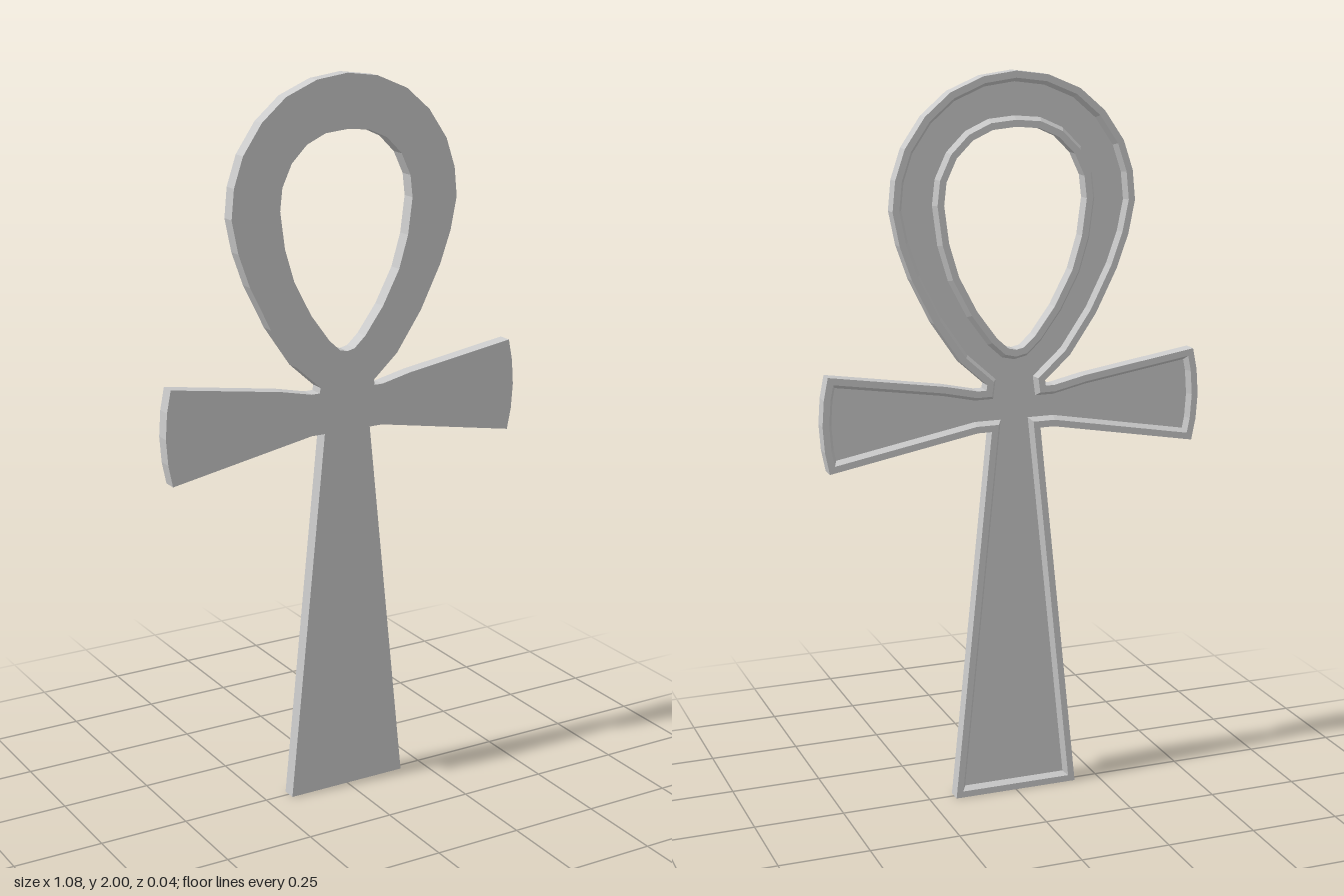
import * as THREE from 'three';

const FRONT = 0.02, BACK = -0.02, FLOOR = -0.004;

// Right half of the outer contour, from the foot up to the top of the loop
const OUTER = [
  [0.178, 0], [0.07, 1.045], [0.11, 1.045], [0.522, 0.97], [0.534, 1.03], [0.539, 1.1],
  [0.534, 1.17], [0.522, 1.23], [0.2, 1.18], [0.11, 1.16], [0.085, 1.16], [0.083, 1.175],
  [0.155, 1.24], [0.23, 1.35], [0.29, 1.47], [0.322, 1.56], [0.34, 1.65], [0.332, 1.73],
  [0.305, 1.81], [0.25, 1.89], [0.18, 1.95], [0.09, 1.988], [0, 2],
];
// Right half of the opening, from its pointed bottom to its top
const OPENING = [
  [0, 1.265], [0.022, 1.27], [0.055, 1.3], [0.11, 1.375], [0.16, 1.47], [0.187, 1.56], [0.2, 1.66],
  [0.193, 1.72], [0.165, 1.78], [0.12, 1.825], [0.065, 1.85], [0, 1.856],
];

// Mirror a half contour into a closed counter-clockwise loop
function closeLoop(half) {
  const right = half.map(([x, y]) => new THREE.Vector2(x, y));
  const left = right.filter((p) => p.x > 0).reverse().map((p) => new THREE.Vector2(-p.x, p.y));
  return [...right, ...left];
}

// Shift a loop to the left of its direction with mitred corners
function inset(loop, d) {
  const n = loop.length;
  const normal = (a, b) => new THREE.Vector2(a.y - b.y, b.x - a.x).normalize();
  return loop.map((p, i) => {
    const n1 = normal(loop[(i + n - 1) % n], p);
    const n2 = normal(p, loop[(i + 1) % n]);
    return n1.clone().add(n2).multiplyScalar(d / (1 + n1.dot(n2))).add(p);
  });
}

// Sweep a [inset, z] profile round a loop: side wall, rim top and inner slope
function sweepRim(loop, profile) {
  const rings = profile.map(([d, z]) => inset(loop, d).map((p) => [p.x, p.y, z]));
  const pos = [];
  for (let k = 0; k < rings.length - 1; k++) {
    for (let i = 0; i < loop.length; i++) {
      const j = (i + 1) % loop.length;
      const a = rings[k][i], b = rings[k][j], c = rings[k + 1][j], d = rings[k + 1][i];
      pos.push(...a, ...d, ...c, ...a, ...c, ...b);
    }
  }
  const geo = new THREE.BufferGeometry();
  geo.setAttribute('position', new THREE.Float32BufferAttribute(pos, 3));
  geo.computeVertexNormals();
  return geo;
}

export function createModel() {
  const group = new THREE.Group();
  group.name = 'loopedCross';
  const material = new THREE.MeshStandardMaterial({ color: 0xcccccc, flatShading: true });
  const add = (name, geometry) => {
    const mesh = new THREE.Mesh(geometry, material);
    mesh.name = name;
    group.add(mesh);
  };

  const outer = closeLoop(OUTER);
  const opening = closeLoop(OPENING).reverse();
  const rimProfile = [[0, FRONT], [0, BACK], [0.018, BACK], [0.028, FLOOR]];

  const face = (d) => {
    const shape = new THREE.Shape(inset(outer, d));
    shape.holes.push(new THREE.Path(inset(opening, d)));
    return new THREE.ShapeGeometry(shape);
  };

  // Flat front
  add('frontFace', face(0).translate(0, 0, FRONT));
  // Sunken back panel, turned round to face -z
  add('backPanel', face(0.028).rotateY(Math.PI).translate(0, 0, FLOOR));
  // Raised borders with the edge walls
  add('outerRim', sweepRim(outer, rimProfile));
  add('openingRim', sweepRim(opening, rimProfile));
  return group;
}
